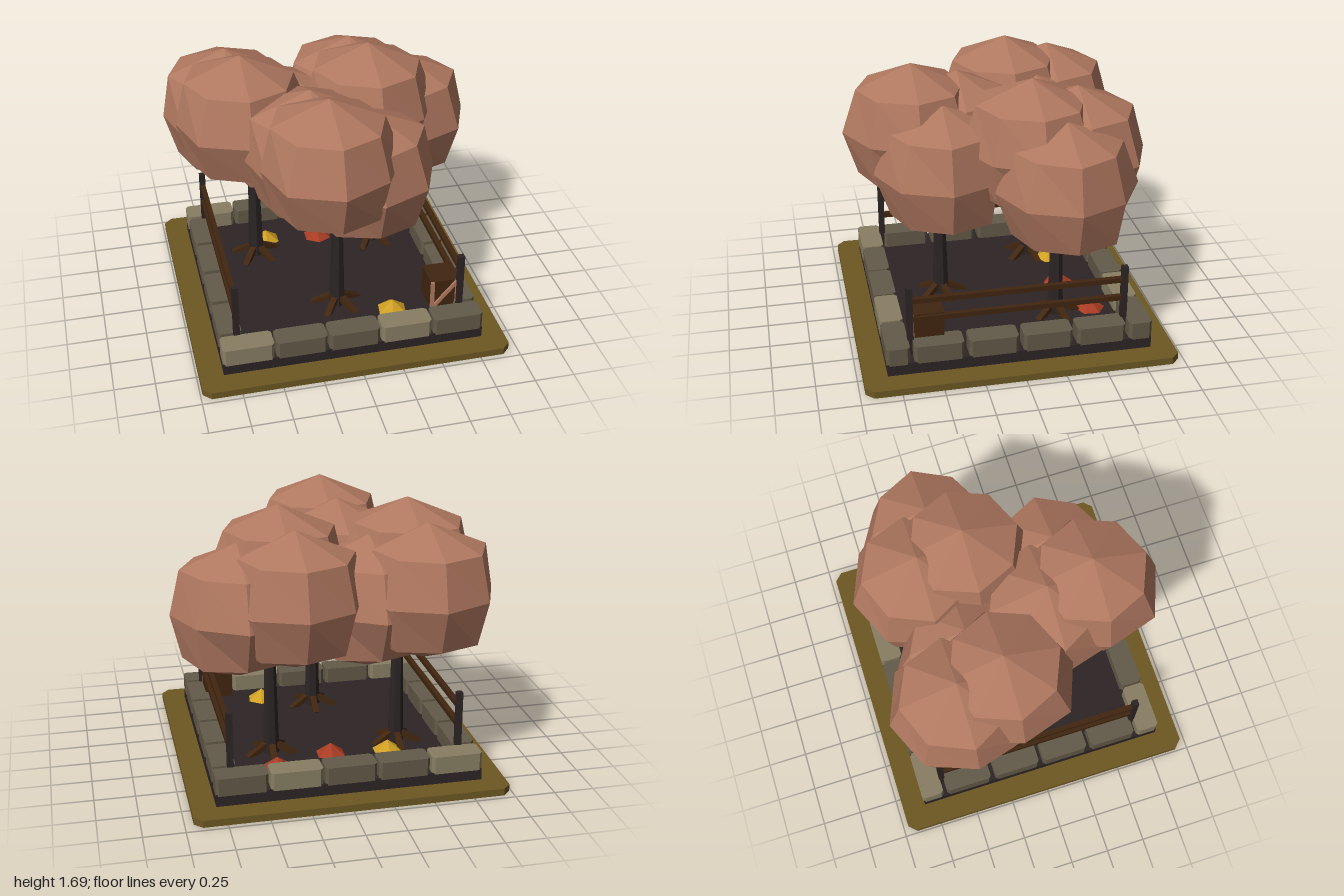
import * as THREE from 'three';

const mat = (name, color) => {
  const m = new THREE.MeshStandardMaterial({ color, flatShading: true });
  m.name = name;
  return m;
};

export function createModel() {
  const model = new THREE.Group();
  model.name = 'autumnGrove';

  const grass = mat('dry grass', 0x6d5823);
  const soil = mat('dark soil', 0x2d2425);
  const bark = mat('dark bark', 0x2c2424);
  const wood = mat('brown wood', 0x412610);
  const leaf = mat('dusty leaves', 0xb07860);
  const lightStone = mat('light stone', 0x887e63);
  const darkStone = mat('dark stone', 0x635a48);
  const red = mat('red leaves', 0xa83c24);
  const yellow = mat('yellow leaves', 0xcf9f24);

  const add = (parent, name, geometry, material, x = 0, y = 0, z = 0) => {
    const mesh = new THREE.Mesh(geometry, material);
    mesh.name = name;
    mesh.position.set(x, y, z);
    parent.add(mesh);
    return mesh;
  };
  const box = (w, h, d) => new THREE.BoxGeometry(w, h, d);

  // Slab standing on y = 0 with its four upright corners cut off
  const slab = (w, h, d, c) => {
    const a = w / 2, b = d / 2;
    const corners = [[-a + c, -b], [a - c, -b], [a, -b + c], [a, b - c],
      [a - c, b], [-a + c, b], [-a, b - c], [-a, -b + c]];
    const shape = new THREE.Shape(corners.map(([x, y]) => new THREE.Vector2(x, y)));
    return new THREE.ExtrudeGeometry(shape, { depth: h, bevelEnabled: false }).rotateX(-Math.PI / 2);
  };

  const cx = -0.02; // middle of the garden bed

  // Ground and raised bed
  add(model, 'groundSlab', slab(1.935, 0.045, 1.935, 0.05), grass, cx);
  add(model, 'soilBed', box(1.64, 0.075, 1.64), soil, cx, 0.0825, 0);

  // Stone border: five in front and behind, four along each side
  const border = new THREE.Group();
  border.name = 'stoneBorder';
  model.add(border);
  for (const side of [-1, 1]) {
    for (let i = 0; i < 5; i++) {
      add(border, 'borderStone', slab(0.318, 0.113, 0.145, 0.018),
        i % 3 === 0 ? lightStone : darkStone, cx + (i - 2) * 0.331, 0.112, side * 0.752);
    }
    for (let i = 0; i < 4; i++) {
      add(border, 'borderStone', slab(0.145, 0.113, 0.305, 0.018),
        darkStone, cx + side * 0.748, 0.112, (i - 1.5) * 0.335);
    }
  }

  // Fences along both sides
  for (const side of [-1, 1]) {
    const fence = new THREE.Group();
    fence.name = side > 0 ? 'leftFence' : 'rightFence';
    fence.position.x = cx + side * 0.71;
    model.add(fence);
    for (const z of [-0.665, 0.665]) add(fence, 'fencePost', box(0.038, 0.455, 0.038), bark, 0, 0.3475, z);
    for (const y of [0.36, 0.485]) add(fence, 'fenceRail', box(0.032, 0.032, 1.33), wood, 0, y, 0);
  }

  // Wooden crate with a pale braced front
  const crate = new THREE.Group();
  crate.name = 'crate';
  crate.position.set(0.6, 0.285, 0.55);
  model.add(crate);
  add(crate, 'crateBody', box(0.18, 0.2, 0.19), wood);
  for (const x of [-0.08, 0.08]) add(crate, 'crateUpright', box(0.022, 0.2, 0.02), leaf, x, 0, 0.1);
  add(crate, 'crateBrace', box(0.022, 0.25, 0.018), leaf, 0, 0, 0.1).rotation.z = -Math.PI / 4.4;

  // Faceted crown: a five-ring lathe with uneven ring corners
  const SEG = 8;
  const crownGeometry = (r, seed) => {
    const profile = [[0, -1], [0.8, -0.65], [1, 0], [0.8, 0.65], [0, 1]]
      .map(([x, y]) => new THREE.Vector2(x * r, y * r));
    const g = new THREE.LatheGeometry(profile, SEG);
    const p = g.attributes.position;
    for (let i = 0; i < p.count; i++) {
      const ring = i % 5, seg = Math.floor(i / 5) % SEG;
      const s = Math.sin(seed * 12.9 + ring * 78.2 + seg * 37.7) * 43758.5;
      const k = 0.94 + 0.12 * (s - Math.floor(s));
      p.setX(i, p.getX(i) * k);
      p.setZ(i, p.getZ(i) * k);
    }
    g.computeVertexNormals();
    return g;
  };
  const crowns = [ // offset x, height, offset z, radius
    [-0.087, 1.26, 0.147, 0.425],
    [0.187, 1.08, 0, 0.425],
    [-0.135, 1.17, -0.147, 0.43],
  ].map(([x, y, z, r], i) => ({ x, y, z, geometry: crownGeometry(r, i + 1) }));

  // Three matching trees
  for (const [x, z] of [[-0.43, -0.31], [0.38, -0.31], [-0.025, 0.363]]) {
    const tree = new THREE.Group();
    tree.name = 'tree';
    tree.position.set(x, 0, z);
    model.add(tree);
    add(tree, 'trunk', new THREE.CylinderGeometry(0.028, 0.053, 0.95, 7), bark, 0, 0.585, 0);
    for (let i = 0; i < 5; i++) {
      const pivot = new THREE.Group();
      pivot.name = 'rootPivot';
      pivot.rotation.y = i * Math.PI * 0.4 + 0.3;
      tree.add(pivot);
      add(pivot, 'root', box(0.17, 0.032, 0.04), wood, 0.085, 0.15, 0).rotation.z = -0.5;
    }
    for (const c of crowns) add(tree, 'crown', c.geometry, leaf, c.x, c.y, c.z);
  }

  // Fallen leaf piles
  const piles = [[-0.34, -0.45, yellow], [0.02, -0.42, red], [0.38, -0.54, red], [0.3, 0.51, yellow]];
  piles.forEach(([x, z, material], i) => {
    add(model, 'leafPile', new THREE.ConeGeometry(0.1, 0.075, 6), material, x, 0.155, z).rotation.y = i;
  });

  return model;
}
